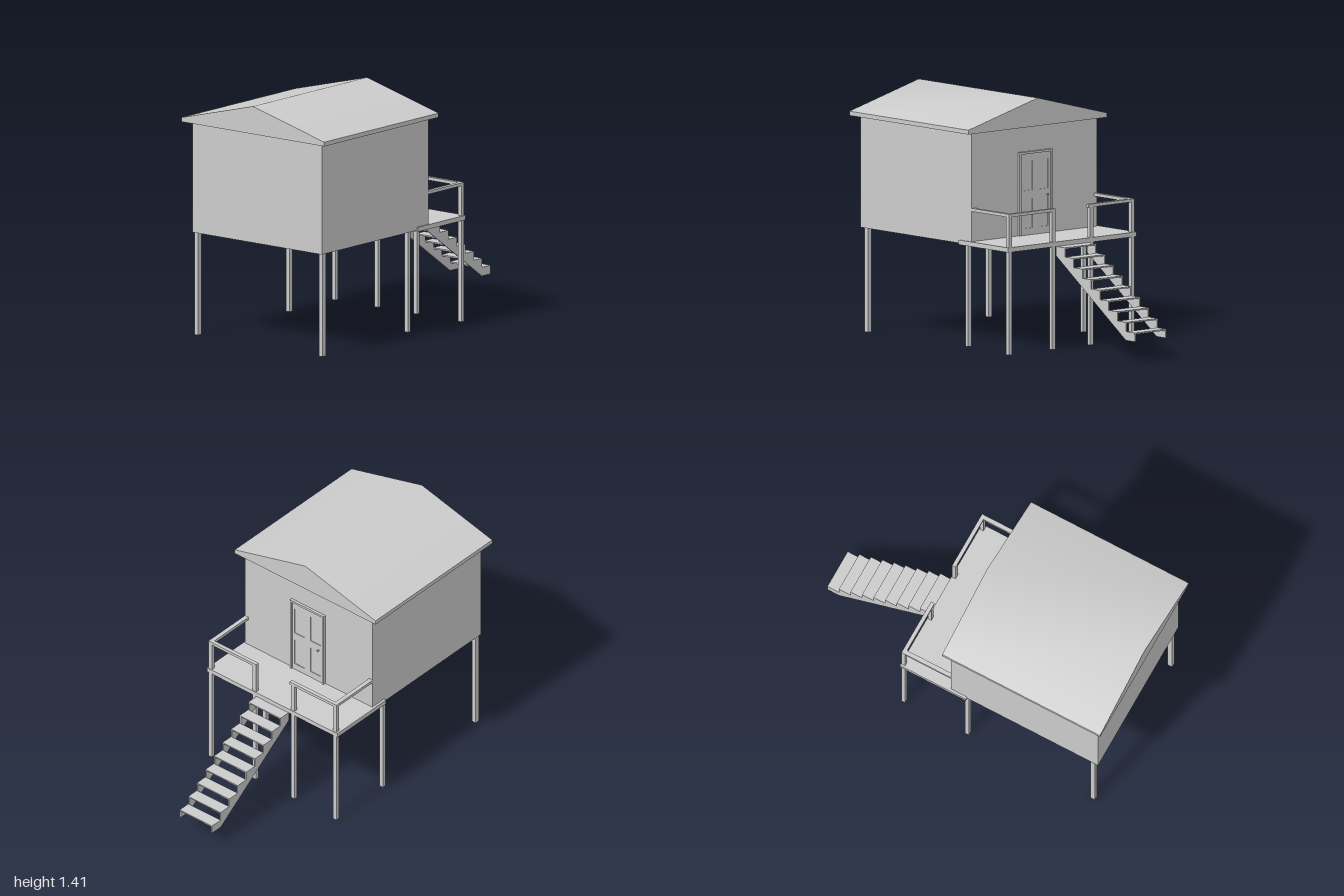
import * as THREE from 'three';
import { toCreasedNormals } from 'three/addons/utils/BufferGeometryUtils.js';

const material = new THREE.MeshStandardMaterial({ color: 0xcccccc });

function add(parent, name, geometry) {
  const mesh = new THREE.Mesh(geometry, material);
  mesh.name = name;
  parent.add(mesh);
  return mesh;
}

// Box given by its extents on each axis
function block(parent, name, [x0, x1], [y0, y1], [z0, z1]) {
  const mesh = add(parent, name, new THREE.BoxGeometry(x1 - x0, y1 - y0, z1 - z0));
  mesh.position.set((x0 + x1) / 2, (y0 + y1) / 2, (z0 + z1) / 2);
  return mesh;
}

const shapeOf = (points) => new THREE.Shape(points.map(([x, y]) => new THREE.Vector2(x, y)));
const extrude = (shape, depth) => new THREE.ExtrudeGeometry(shape, { depth, bevelEnabled: false });

function group(parent, name) {
  const g = new THREE.Group();
  g.name = name;
  parent.add(g);
  return g;
}

function buildHouse(model) {
  block(model, 'walls', [-0.96, 0], [0.603, 1.255], [-0.48, 0.48]);

  // Gable roof, shaded softly across the ridge
  const profile = shapeOf([[-0.53, 1.25], [0.53, 1.25], [0.53, 1.275], [0, 1.412], [-0.53, 1.275]]);
  const roof = toCreasedNormals(extrude(profile, 1.03), 0.6);
  roof.rotateY(Math.PI / 2);
  roof.translate(-1, 0, 0);
  add(model, 'roof', roof);
}

function buildDoor(model) {
  const door = group(model, 'door');
  const y0 = 0.62, y1 = 1.105;

  // Frame: two jambs and a head
  for (const s of [-1, 1]) {
    block(door, 'doorJamb', [0, 0.016], [y0, y1], s > 0 ? [0.114, 0.127] : [-0.127, -0.114]);
  }
  block(door, 'doorHead', [0, 0.016], [y1 - 0.013, y1], [-0.114, 0.114]);

  // Leaf with four recessed panels; shape x runs along -z
  const leaf = shapeOf([[-0.114, y0], [0.114, y0], [0.114, y1 - 0.013], [-0.114, y1 - 0.013]]);
  for (const a of [-0.097, 0.022]) {
    for (const [b, t] of [[0.662, 0.83], [0.88, 1.05]]) {
      const hole = [[a, b], [a, t], [a + 0.075, t], [a + 0.075, b]];
      leaf.holes.push(new THREE.Path(hole.map(([x, y]) => new THREE.Vector2(x, y))));
    }
  }
  const leafGeometry = extrude(leaf, 0.009);
  leafGeometry.rotateY(Math.PI / 2);
  add(door, 'doorLeaf', leafGeometry);
  block(door, 'doorPanels', [0, 0.005], [y0, y1 - 0.013], [-0.114, 0.114]);

  // Knob on a short stem
  const stem = add(door, 'knobStem', new THREE.CylinderGeometry(0.003, 0.003, 0.014, 10).rotateZ(Math.PI / 2));
  stem.position.set(0.014, 0.845, -0.086);
  const knob = add(door, 'doorKnob', new THREE.SphereGeometry(0.006, 12, 8));
  knob.position.set(0.021, 0.845, -0.086);
}

function buildDeck(model) {
  const deck = group(model, 'deck');
  block(deck, 'deckFloor', [-0.105, 0.325], [0.595, 0.622], [-0.495, 0.487]);

  // Posts under the house
  for (const [x, z, w] of [[-0.925, 0.455, 0.03], [-0.925, -0.468, 0.03], [-0.105, 0.411, 0.024], [-0.105, -0.468, 0.024]]) {
    block(deck, 'stilt', [x - w / 2, x + w / 2], [0, 0.604], [z - 0.013, z + 0.013]);
  }

  // Posts carrying the deck and its railing, with the rails on each side of the stairs
  const x0 = 0.298, x1 = 0.321, railTop = 0.815, railLow = 0.797;
  const sides = [
    { inner: [0.121, 0.147], outer: [0.453, 0.479] },
    { inner: [-0.168, -0.142], outer: [-0.483, -0.457] },
  ];
  for (const { inner, outer } of sides) {
    for (const z of [inner, outer]) block(deck, 'deckPost', [x0, x1], [0, railLow], z);
    // The railing beside the stairs reaches slightly past the inner post
    const end = inner[0] > 0 ? [inner[0], outer[1]] : [outer[0], inner[1] + 0.012];
    block(deck, 'frontRail', [x0, x1], [railLow, railTop], end);
    block(deck, 'sideRail', [0, x0], [railLow, railTop], outer);
  }
}

function buildStairs(model) {
  const stairs = group(model, 'stairs');
  const count = 9, run = 0.0755, rise = 0.0535, startX = 0.32, topY = 0.595;
  const zMin = -0.127, zMax = 0.116, thickness = 0.008;

  // Sawtooth stringer outline
  const outline = [[startX, 0.54], [0.922, 0.116], [1, 0.116]];
  for (let i = count - 1; i >= 0; i--) {
    const y = topY - i * rise;
    outline.push([startX + (i + 1) * run, y], [startX + i * run, y]);
  }
  const stringer = extrude(shapeOf(outline), thickness);
  for (const z of [zMin, zMax - thickness]) add(stairs, 'stringer', stringer).position.z = z;

  // Open treads
  for (let i = 0; i < count; i++) {
    const y = topY - i * rise, x = startX + i * run;
    block(stairs, 'tread', [x, x + run], [y - 0.008, y], [zMin + thickness, zMax - thickness]);
  }
}

export function createModel() {
  const model = new THREE.Group();
  model.name = 'stiltHouse';
  buildHouse(model);
  buildDoor(model);
  buildDeck(model);
  buildStairs(model);
  return model;
}
